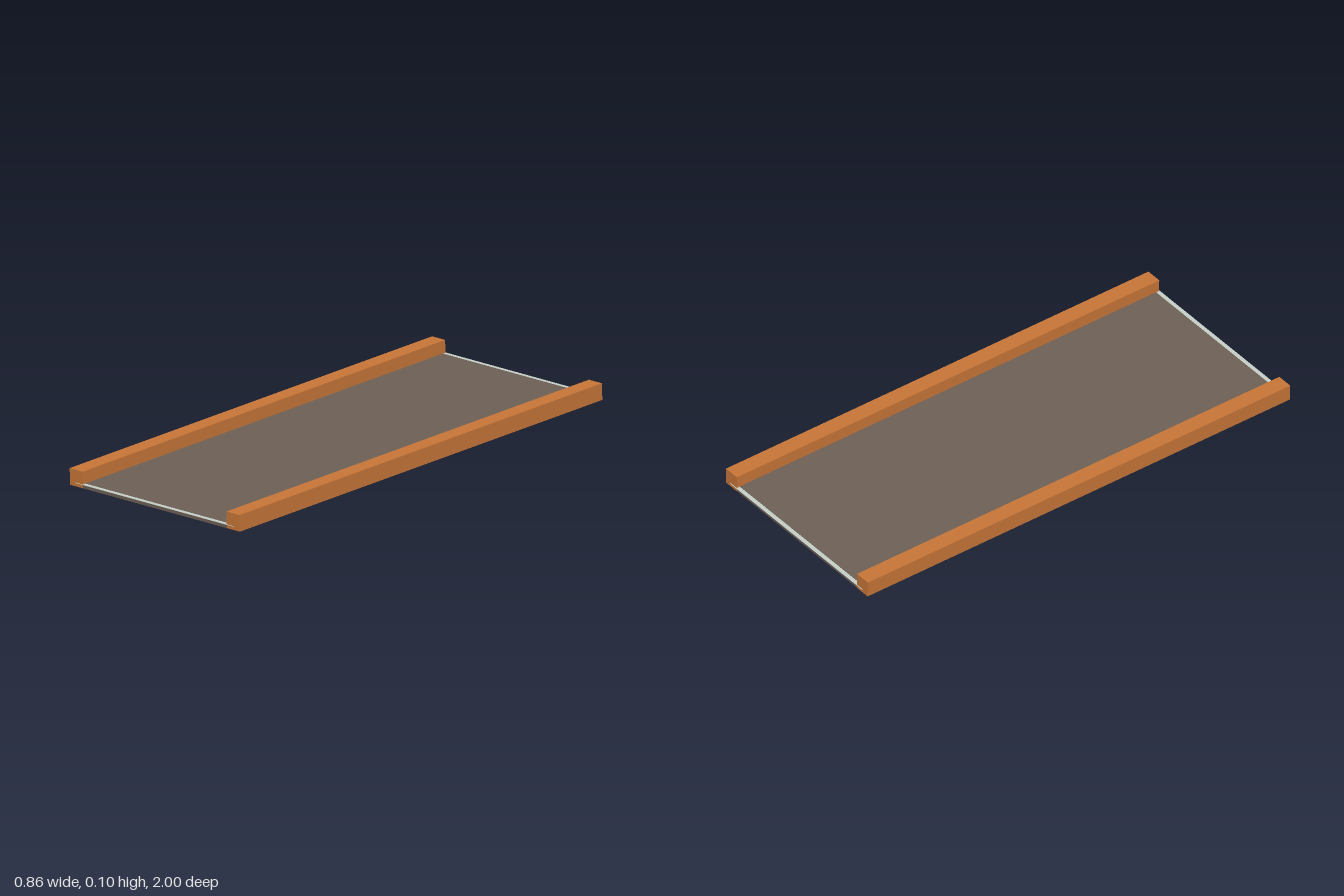
import * as THREE from 'three';

export function createModel() {
  const model = new THREE.Group();
  model.name = 'railedDeck';

  const mat = (name, color) => {
    const m = new THREE.MeshStandardMaterial({ color });
    m.name = name;
    return m;
  };
  const rust = mat('rust orange', 0xc87638);
  const brown = mat('grey brown', 0x6e6056);
  const pale = mat('pale grey', 0xc5d0c8);

  // box placed by its bottom height
  const addBox = (name, material, [w, h, d], x, bottom) => {
    const mesh = new THREE.Mesh(new THREE.BoxGeometry(w, h, d), material);
    mesh.name = name;
    mesh.position.set(x, bottom + h / 2, 0);
    model.add(mesh);
  };

  // layered deck: base slab, thin sheet showing at both ends, top cover
  addBox('deckSlab', brown, [0.8, 0.0145, 1.992], 0, 0);
  addBox('deckSheet', pale, [0.8, 0.001, 2], 0, 0.0145);
  addBox('deckCover', brown, [0.8, 0.0008, 1.965], 0, 0.0155);

  // side rails
  for (const side of [-1, 1]) {
    addBox(side > 0 ? 'leftRail' : 'rightRail', rust, [0.066, 0.0655, 1.994], side * 0.397, 0.0005);
  }

  // slight tilt: rises towards the back and the left
  model.rotation.set(0.0074, 0, 0.0175);
  model.position.y = 0.0152;

  const root = new THREE.Group();
  root.name = 'walkway';
  root.add(model);
  return root;
}
